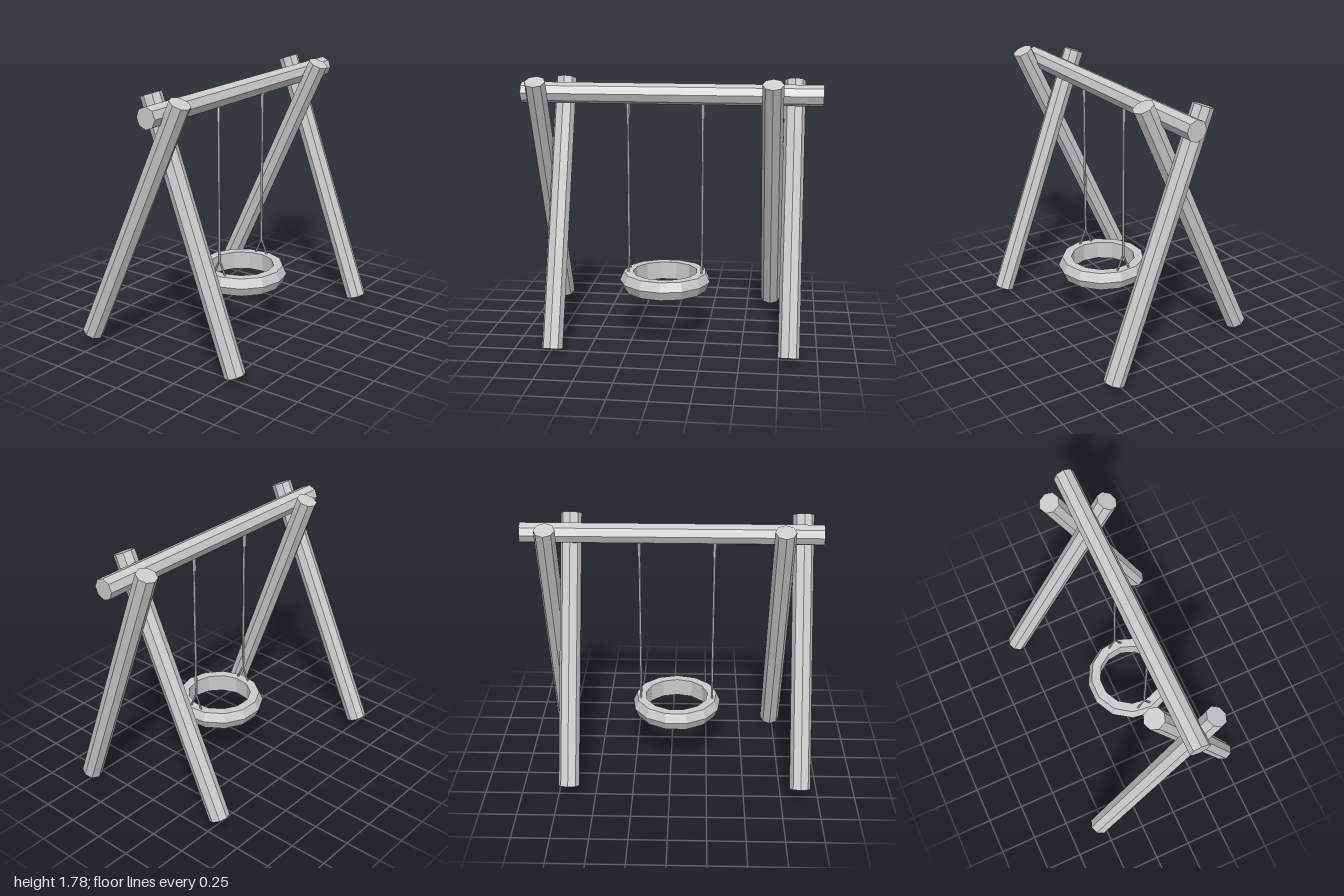
import * as THREE from 'three';

const material = new THREE.MeshStandardMaterial({ color: 0xcccccc, flatShading: true });

// Straight round bar between two points
function bar(name, from, to, radius, sides) {
  const a = new THREE.Vector3(...from);
  const b = new THREE.Vector3(...to);
  const dir = b.clone().sub(a);
  const mesh = new THREE.Mesh(new THREE.CylinderGeometry(radius, radius, dir.length(), sides), material);
  mesh.name = name;
  mesh.position.copy(a).add(b).multiplyScalar(0.5);
  mesh.quaternion.setFromUnitVectors(new THREE.Vector3(0, 1, 0), dir.normalize());
  return mesh;
}

export function createModel() {
  const model = new THREE.Group();
  model.name = 'tyreSwing';

  // Top beam
  const logRadius = 0.07;
  const beamX = 0.08;
  model.add(bar('beam', [beamX, 1.67, -1], [beamX, 1.67, 1], logRadius, 8));

  // Crossed pair of log legs at each end
  for (const [end, z] of [['front', 0.805], ['back', -0.745]]) {
    const legs = new THREE.Group();
    legs.name = end + 'Legs';
    legs.add(bar(end + 'RightLeg', [-0.535, 0.095, z + 0.07], [0.238, 1.755, z + 0.07], logRadius, 8));
    legs.add(bar(end + 'LeftLeg', [0.53, 0.03, z - 0.07], [-0.097, 1.75, z - 0.07], logRadius, 8));
    model.add(legs);
  }

  // Tyre seat: closed profile turned around a vertical axis
  const profile = [[0.22, 0.335], [0.283, 0.335], [0.31, 0.397], [0.283, 0.458], [0.22, 0.458], [0.22, 0.335]]
    .map(([r, y]) => new THREE.Vector2(r, y));
  const seat = new THREE.Mesh(new THREE.LatheGeometry(profile, 13, Math.PI / 2), material);
  seat.name = 'tyreSeat';
  seat.position.set(0.09, 0, 0.036);
  model.add(seat);

  // Hangers: sleeve under the beam, rope, and two strands splitting to the seat
  for (const [side, z] of [['front', 0.285], ['back', -0.215]]) {
    const hanger = new THREE.Group();
    hanger.name = side + 'Hanger';
    hanger.add(bar('sleeve', [beamX, 1.51, z], [beamX, 1.63, z], 0.013, 6));
    hanger.add(bar('rope', [beamX + 0.002, 0.555, z], [beamX + 0.002, 1.52, z], 0.009, 6));
    for (const s of [-1, 1]) {
      hanger.add(bar('strand', [0.083 + s * 0.053, 0.44, z], [0.083, 0.56, z], 0.007, 6));
    }
    model.add(hanger);
  }

  return model;
}
